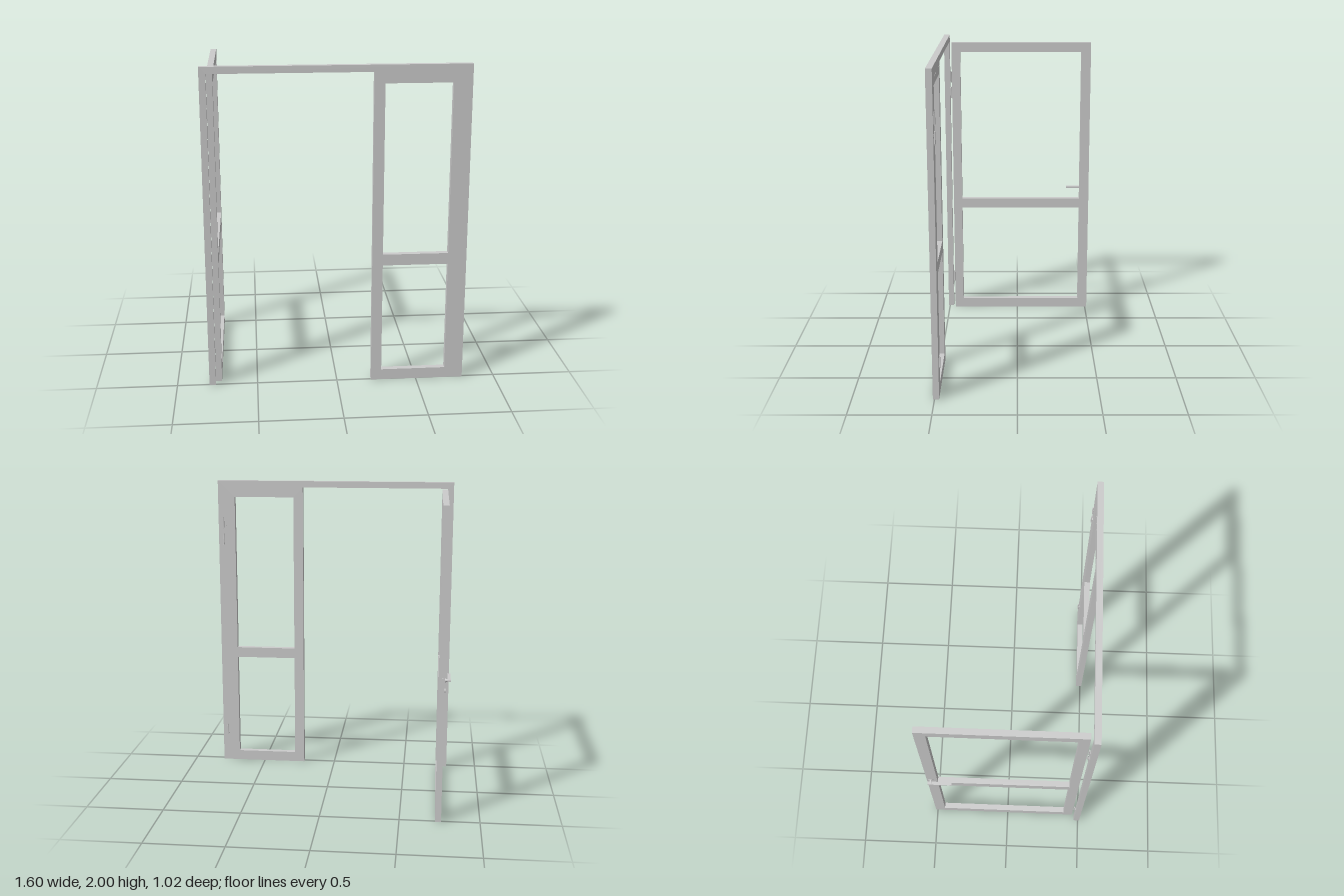
import * as THREE from 'three';

const mat = new THREE.MeshStandardMaterial({ color: 0xcccccc });

function add(parent, name, geo, x = 0, y = 0, z = 0) {
  const m = new THREE.Mesh(geo, mat);
  m.name = name;
  m.position.set(x, y, z);
  parent.add(m);
  return m;
}

// Flat slab cut from an outline, with rectangular openings [x0, y0, x1, y1]
function slab(points, holes, depth) {
  const s = new THREE.Shape(points.map(p => new THREE.Vector2(...p)));
  for (const [a, b, c, d] of holes) {
    s.holes.push(new THREE.Path([[a, b], [a, d], [c, d], [c, b]].map(p => new THREE.Vector2(...p))));
  }
  return new THREE.ExtrudeGeometry(s, { depth, bevelEnabled: false });
}

// Hinge: knuckle barrel, pin tips and a small leaf
function hinge(parent, name, x, y, z, side) {
  const g = new THREE.Group();
  g.name = name;
  g.position.set(x, y, z);
  add(g, 'hingeBarrel', new THREE.CylinderGeometry(0.005, 0.005, 0.066, 12));
  for (const s of [-1, 1]) {
    add(g, 'hingeTip', new THREE.CylinderGeometry(0.0035, 0.0035, 0.008, 12), 0, s * 0.036, 0);
  }
  add(g, 'hingeLeaf', new THREE.BoxGeometry(0.016, 0.045, 0.004), side * 0.009, 0, 0.004);
  parent.add(g);
}

export function createModel() {
  const root = new THREE.Group();
  root.name = 'doorway';

  // Fixed frame: left jamb, header and glazed-style side panel in one piece
  add(root, 'frame', slab(
    [[-0.8, 0], [-0.76, 0], [-0.76, 1.958], [0.215, 1.958], [0.215, 0], [0.797, 0], [0.797, 2], [-0.8, 2]],
    [[0.28, 0.068, 0.683, 0.765], [0.28, 0.835, 0.683, 1.89]], 0.038), 0, 0, 0.472);

  // Open door leaf, standing at right angles to the frame
  const door = add(root, 'doorLeaf', slab(
    [[-0.457, 0], [0.512, 0], [0.512, 1.955], [-0.457, 1.955]],
    [[-0.397, 0.068, 0.445, 0.765], [-0.397, 0.835, 0.445, 1.89]], 0.037), -0.76, 0, 0);
  door.rotation.y = Math.PI / 2;

  // Three hinges each for the door and the side panel
  for (const y of [0.23, 1.6, 1.712]) {
    hinge(root, 'doorHinge', -0.764, y, 0.464, -1);
    hinge(root, 'panelHinge', 0.762, y, 0.466, -1);
  }

  // Row of screw heads along the top rail of the side panel
  for (let i = 0; i < 12; i++) {
    const screw = add(root, 'screw', new THREE.CylinderGeometry(0.003, 0.003, 0.002, 8), 0.25 + i * 0.044, 1.935, 0.4715);
    screw.rotation.x = Math.PI / 2;
  }

  // Lever handle on the outer face
  const handle = new THREE.Group();
  handle.name = 'handle';
  const neck = add(handle, 'handleNeck', new THREE.CylinderGeometry(0.008, 0.008, 0.03, 16), -0.772, 0.904, -0.485);
  neck.rotation.z = Math.PI / 2;
  const rose = add(handle, 'handleRose', new THREE.CylinderGeometry(0.016, 0.016, 0.005, 20), -0.762, 0.904, -0.485);
  rose.rotation.z = Math.PI / 2;
  add(handle, 'handleLever', new THREE.BoxGeometry(0.02, 0.011, 0.153), -0.785, 0.905, -0.429);
  const lock = add(handle, 'lockRose', new THREE.CylinderGeometry(0.012, 0.012, 0.005, 20), -0.762, 0.84, -0.485);
  lock.rotation.z = Math.PI / 2;
  root.add(handle);

  // Latch plate and bolt on the free edge of the door
  add(root, 'latchPlate', new THREE.BoxGeometry(0.016, 0.11, 0.002), -0.7415, 0.87, -0.5125);
  add(root, 'latchBolt', new THREE.BoxGeometry(0.009, 0.02, 0.004), -0.7415, 0.9, -0.513);

  return root;
}
